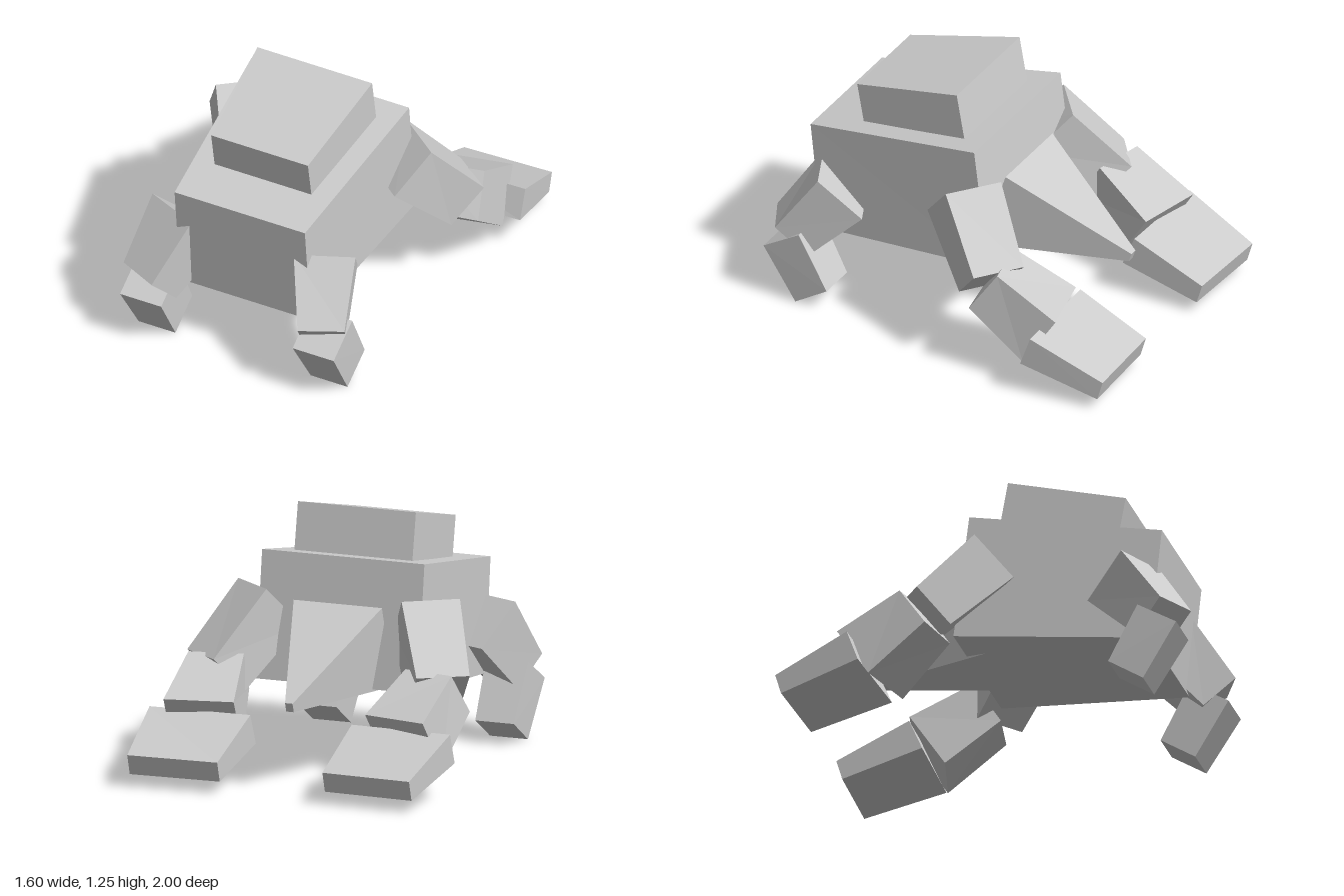
import * as THREE from 'three';

const stone = new THREE.MeshStandardMaterial({ color: 0xcccccc });
stone.name = 'pale grey';

// Six-sided block between two matching four-corner loops, with flat faces turned outward.
function block(name, a, b) {
  const v = [...a, ...b].map((p) => new THREE.Vector3(...p));
  const quads = [[0, 1, 2, 3], [7, 6, 5, 4]];
  for (let i = 0; i < 4; i++) {
    const j = (i + 1) % 4;
    quads.push([i, i + 4, j + 4, j]);
  }
  let tris = quads.flatMap(([p, q, r, s]) => [[p, q, r], [p, r, s]]);
  const volume = tris.reduce((sum, [p, q, r]) => sum + v[p].dot(v[q].clone().cross(v[r])), 0);
  if (volume < 0) tris = tris.map(([p, q, r]) => [p, r, q]);
  const geometry = new THREE.BufferGeometry().setFromPoints(tris.flat().map((i) => v[i]));
  geometry.computeVertexNormals();
  const mesh = new THREE.Mesh(geometry, stone);
  mesh.name = name;
  return mesh;
}

// Symmetric block: side profile corners given as [halfWidth, y, z].
function symmetricBlock(name, profile) {
  return block(name, profile, profile.map(([x, y, z]) => [-x, y, z]));
}

// Limb pieces on the model's left (+x): outer loop, then inner loop.
const limbs = {
  FrontUpperLeg: [
    [[0.605, 0.41, 0.90], [0.556, 0.705, 0.69], [0.465, 0.50, 0.495], [0.54, 0.256, 0.755]],
    [[0.40, 0.41, 1.0], [0.28, 0.705, 0.81], [0.19, 0.50, 0.615], [0.34, 0.256, 0.855]],
  ],
  FrontFoot: [
    [[0.585, 0.275, 0.975], [0.585, 0.39, 0.78], [0.575, 0.11, 0.63], [0.572, 0, 0.805]],
    [[0.36, 0.275, 0.975], [0.36, 0.39, 0.78], [0.37, 0.11, 0.63], [0.37, 0, 0.805]],
  ],
  BackUpperLeg: [
    [[0.59, 0.866, -0.04], [0.752, 0.545, -0.285], [0.645, 0.374, -0.145], [0.475, 0.668, 0.125]],
    [[0.36, 0.866, -0.22], [0.54, 0.545, -0.445], [0.43, 0.374, -0.31], [0.245, 0.668, -0.06]],
  ],
  BackLowerLeg: [
    [[0.70, 0.56, -0.387], [0.69, 0.385, -0.705], [0.72, 0.13, -0.54], [0.737, 0.36, -0.25]],
    [[0.43, 0.56, -0.33], [0.35, 0.385, -0.63], [0.38, 0.13, -0.46], [0.46, 0.36, -0.20]],
  ],
  BackFoot: [
    [[0.80, 0.325, -0.625], [0.75, 0.16, -1.0], [0.75, 0.06, -0.97], [0.80, 0.172, -0.57]],
    [[0.27, 0.325, -0.61], [0.28, 0.16, -0.98], [0.28, 0.06, -0.95], [0.27, 0.172, -0.545]],
  ],
};

export function createModel() {
  const model = new THREE.Group();
  model.name = 'blockCreature';

  // Body, the raised block on its back, and the tapering tail
  model.add(
    symmetricBlock('body', [[0.357, 0.883, 0.84], [0.432, 1.037, -0.11], [0.432, 0.41, -0.19], [0.357, 0.315, 0.78]]),
    symmetricBlock('backBlock', [[0.265, 1.122, 0.632], [0.314, 1.253, 0.052], [0.314, 1.02, 0.01], [0.265, 0.92, 0.595]]),
    symmetricBlock('tail', [[0.235, 0.815, -0.175], [0.02, 0.435, -0.755], [0.02, 0.39, -0.74], [0.235, 0.40, -0.04]]),
  );

  // Mirrored limbs
  for (const [side, s] of [['left', 1], ['right', -1]]) {
    for (const [part, loops] of Object.entries(limbs)) {
      const [outer, inner] = loops.map((loop) => loop.map(([x, y, z]) => [s * x, y, z]));
      model.add(block(side + part, outer, inner));
    }
  }
  return model;
}
